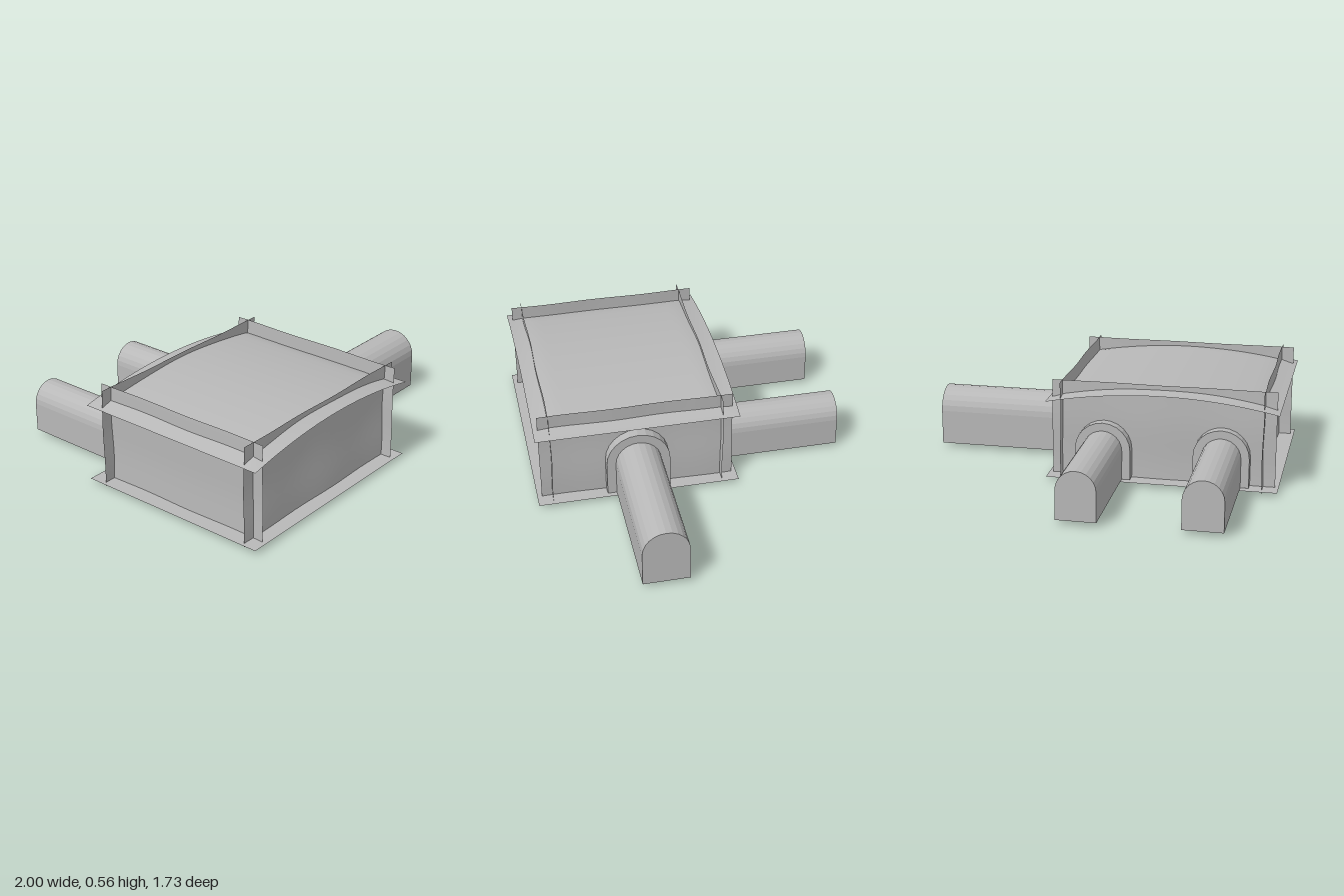
import * as THREE from 'three';

// Room bounds: wall planes and the larger floor / ceiling footprint
const WALL = { left: 0.19, right: -0.91, front: 0.78, back: -0.155 };
const CX = -0.365, CZ = 0.31, SPAN_X = 1.27, SPAN_Z = 1.115;
const FLOOR_Y = 0.03;

const stone = new THREE.MeshStandardMaterial({ color: 0xb8b8b8, side: THREE.DoubleSide });
stone.name = 'grey stone';

function addMesh(parent, name, geometry) {
  const mesh = new THREE.Mesh(geometry, stone);
  mesh.name = name;
  parent.add(mesh);
  return mesh;
}

// Thin upright sheet with a slightly uneven surface
function wallSheet(width, phase) {
  const y0 = 0.005, y1 = 0.56;
  const geo = new THREE.PlaneGeometry(width, y1 - y0, 24, 10);
  geo.translate(0, (y0 + y1) / 2, 0);
  const p = geo.attributes.position;
  for (let i = 0; i < p.count; i++) {
    const x = p.getX(i), y = p.getY(i);
    p.setZ(i, 0.003 * Math.sin(x * 11 + phase) + 0.003 * Math.sin(y * 13 + phase * 2));
  }
  geo.computeVertexNormals();
  return geo;
}

// Shallow vault, with its border drooping a little
function ceilingSheet() {
  const geo = new THREE.PlaneGeometry(SPAN_X, SPAN_Z, 40, 36);
  geo.rotateX(-Math.PI / 2);
  const p = geo.attributes.position;
  for (let i = 0; i < p.count; i++) {
    const x = p.getX(i), z = p.getZ(i);
    const u = x / (SPAN_X / 2);
    const edge = Math.min(SPAN_X / 2 - Math.abs(x), SPAN_Z / 2 - Math.abs(z));
    const droop = 0.014 * (1 - THREE.MathUtils.smoothstep(edge, 0, 0.16));
    p.setY(i, 0.54 - 0.068 * u * u - droop);
  }
  geo.computeVertexNormals();
  return geo;
}

// Round-headed outline standing on the floor
function archPoints(half, top, steps) {
  const spring = top - half;
  const pts = [new THREE.Vector2(half, FLOOR_Y)];
  for (let i = 0; i <= steps; i++) {
    const a = Math.PI * i / steps;
    pts.push(new THREE.Vector2(half * Math.cos(a), spring + half * Math.sin(a)));
  }
  pts.push(new THREE.Vector2(-half, FLOOR_Y));
  return pts;
}

// Closed passage running along +z, with a stone surround at its mouth
function passage(name, half, top, length, border) {
  const group = new THREE.Group();
  group.name = name;
  const tube = new THREE.Shape(archPoints(half, top, 12));
  addMesh(group, 'passageTunnel', new THREE.ExtrudeGeometry(tube, { depth: length, bevelEnabled: false }));

  const ring = archPoints(half + border, top + border, 12)
    .concat(archPoints(half - 0.004, top - 0.004, 12).reverse());
  const surround = new THREE.ExtrudeGeometry(new THREE.Shape(ring), { depth: 0.075, bevelEnabled: false });
  surround.translate(0, 0, -0.02);
  addMesh(group, 'archSurround', surround);
  return group;
}

export function createModel() {
  const model = new THREE.Group();
  model.name = 'vaultedChamber';

  // Floor and ceiling
  const floor = new THREE.PlaneGeometry(SPAN_X, SPAN_Z);
  floor.rotateX(-Math.PI / 2);
  addMesh(model, 'floor', floor).position.set(CX, FLOOR_Y - 0.003, CZ);
  addMesh(model, 'vaultedCeiling', ceilingSheet()).position.set(CX, 0, CZ);

  // Crossing walls
  addMesh(model, 'frontWall', wallSheet(1.23, 0.4)).position.set(CX, 0, WALL.front);
  const back = addMesh(model, 'backWall', wallSheet(1.23, 1.7));
  back.position.set(CX, 0, WALL.back);
  back.rotation.y = Math.PI;
  for (const [name, x, turn] of [['leftWall', WALL.left, 1], ['rightWall', WALL.right, -1]]) {
    const side = addMesh(model, name, wallSheet(1.065, turn + 2));
    side.position.set(x, 0, CZ);
    side.rotation.y = turn * Math.PI / 2;
  }

  // Side passage toward +x
  const sidePassage = passage('sidePassage', 0.125, 0.35, 1 - WALL.left, 0.05);
  sidePassage.position.set(WALL.left, 0, CZ);
  sidePassage.rotation.y = Math.PI / 2;
  model.add(sidePassage);

  // Two back passages
  for (const x of [-0.69, -0.04]) {
    const p = passage('backPassage', 0.108, 0.3, 0.867 + WALL.back, 0.045);
    p.position.set(x, 0, WALL.back);
    p.rotation.y = Math.PI;
    model.add(p);
  }
  return model;
}
